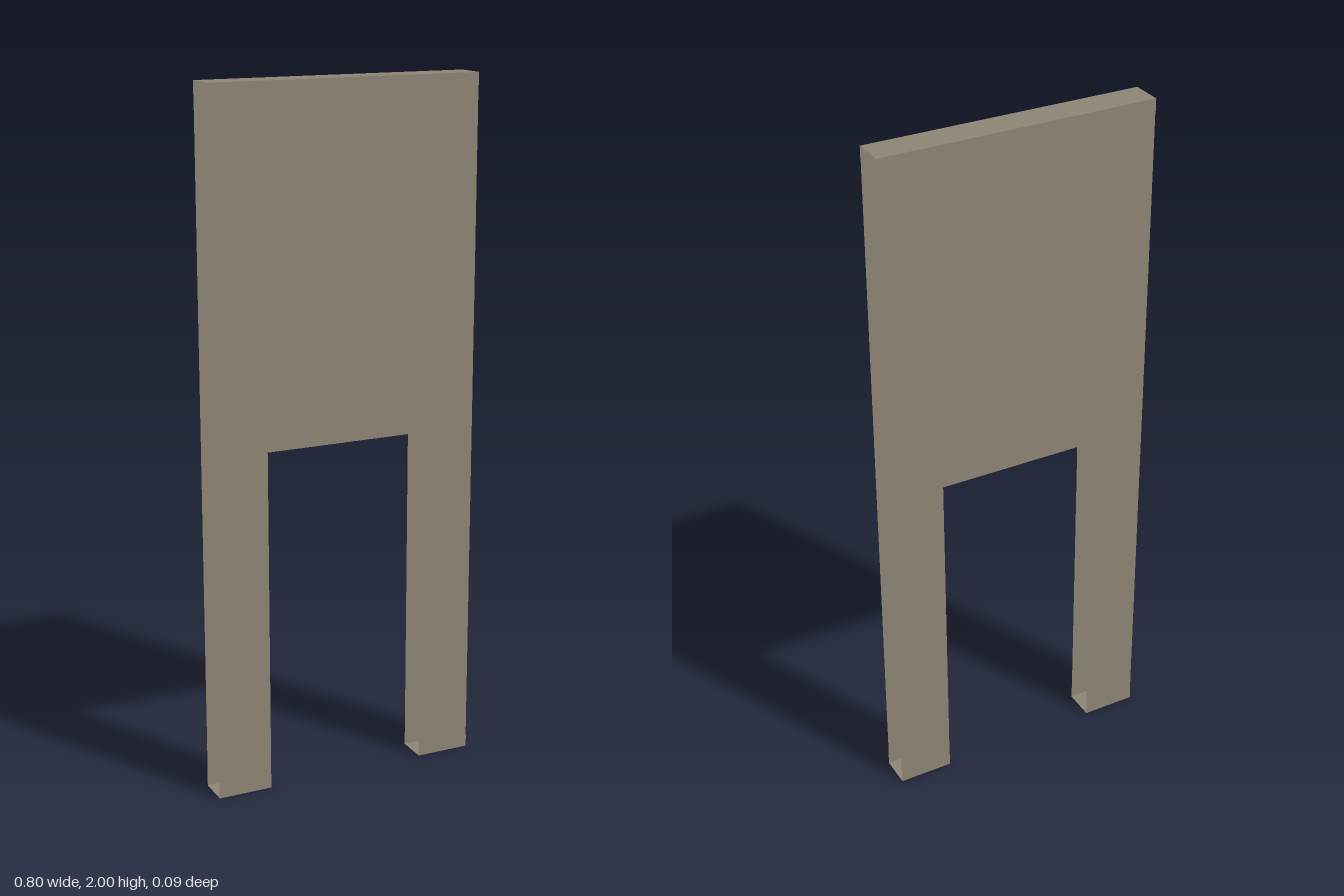
import * as THREE from 'three';

const HALF_W = 0.4, LEG_IN = 0.24, OPEN_TOP = 1.0, HEIGHT = 2;
const SHEET_Z = 0.0445, CAP_Z = 0.046, LIP = 0.036;

export function createModel() {
  const group = new THREE.Group();
  const material = new THREE.MeshStandardMaterial({ color: 0x8c8474, side: THREE.DoubleSide });

  function add(name, geometry, x = 0, y = 0, z = 0, rx = 0, ry = 0) {
    const mesh = new THREE.Mesh(geometry, material);
    mesh.name = name;
    mesh.position.set(x, y, z);
    mesh.rotation.set(rx, ry, 0);
    group.add(mesh);
  }

  // Thin sheet with a doorway cut out; its edges stay open
  const outline = new THREE.Shape([
    [-HALF_W, 0.002], [-LEG_IN, 0.002], [-LEG_IN, OPEN_TOP], [LEG_IN, OPEN_TOP],
    [LEG_IN, 0.002], [HALF_W, 0.002], [HALF_W, HEIGHT - 0.002], [-HALF_W, HEIGHT - 0.002],
  ].map(([x, y]) => new THREE.Vector2(x, y)));
  const sheet = new THREE.ShapeGeometry(outline);
  add('frontSheet', sheet, 0, 0, SHEET_Z);
  add('backSheet', sheet, 0, 0, -SHEET_Z, 0, Math.PI);

  // U-shaped channel: a flat web and two lips, open at its ends
  function channel(name, x, width, y, dir) {
    const web = new THREE.PlaneGeometry(width, 2 * CAP_Z);
    const lip = new THREE.PlaneGeometry(width, LIP);
    add(name + 'Web', web, x, y, 0, -dir * Math.PI / 2);
    add(name + 'FrontLip', lip, x, y - dir * LIP / 2, CAP_Z);
    add(name + 'BackLip', lip, x, y - dir * LIP / 2, -CAP_Z, 0, Math.PI);
  }

  channel('topCap', 0, 2 * HALF_W, HEIGHT, 1);
  const footX = (HALF_W + LEG_IN) / 2, footW = HALF_W - LEG_IN;
  channel('leftFoot', footX, footW, 0, -1);
  channel('rightFoot', -footX, footW, 0, -1);

  return group;
}
